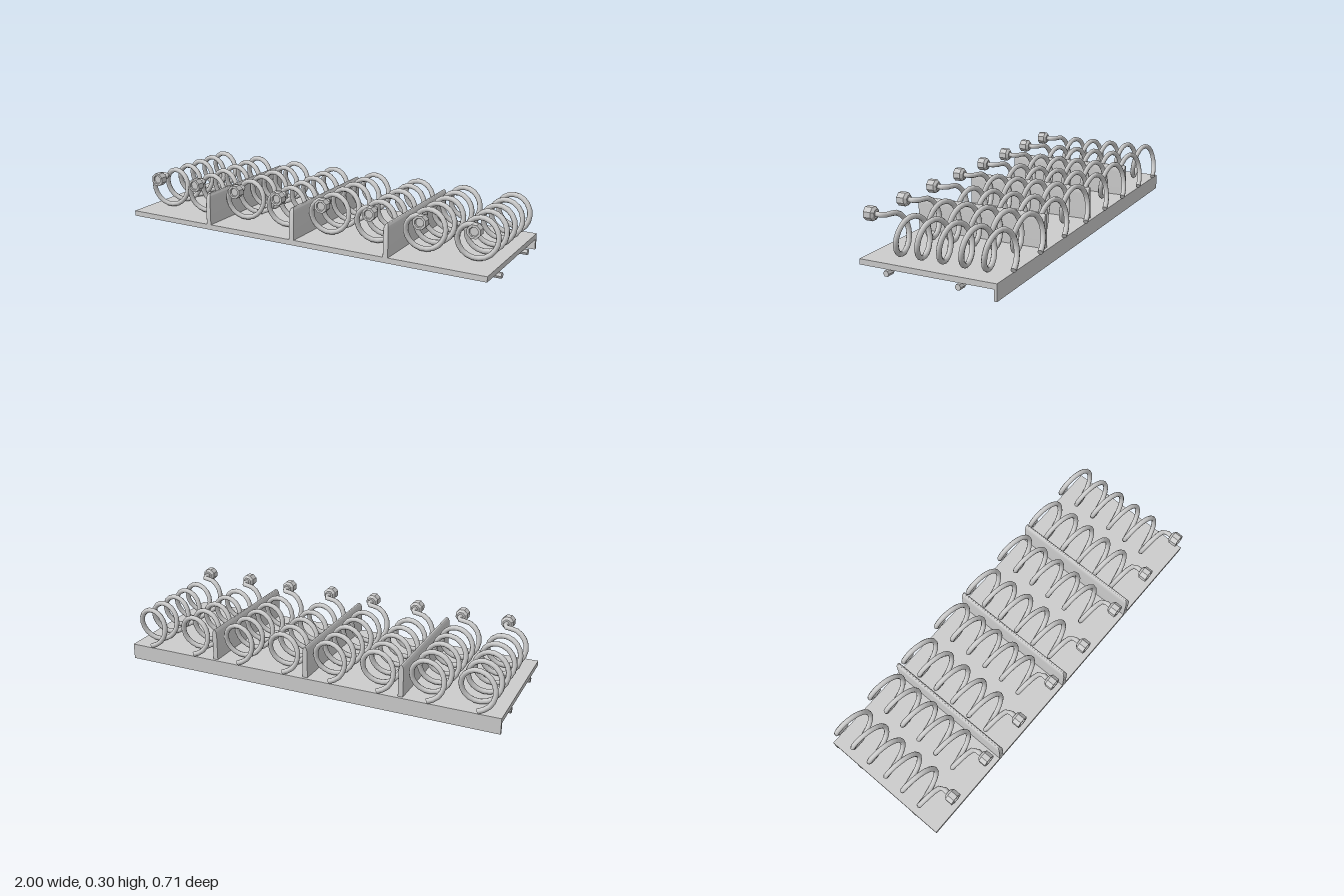
import * as THREE from 'three';
import { toCreasedNormals } from 'three/addons/utils/BufferGeometryUtils.js';

const smooth = new THREE.MeshStandardMaterial({ color: 0xcccccc });
const faceted = new THREE.MeshStandardMaterial({ color: 0xcccccc, flatShading: true });

function add(parent, name, geometry, material, x = 0, y = 0, z = 0) {
  const mesh = new THREE.Mesh(geometry, material);
  mesh.name = name;
  mesh.position.set(x, y, z);
  parent.add(mesh);
  return mesh;
}

// Partition: round-topped section run front to back, front top corner rounded off
function dividerGeometry() {
  const w = 0.0125, top = 0.242, shoulder = 0.205;
  const s = new THREE.Shape();
  s.moveTo(-w, 0.07);
  s.lineTo(w, 0.07);
  s.lineTo(w, shoulder);
  s.absellipse(0, shoulder, w, top - shoulder, 0, Math.PI, false);
  s.closePath();
  const g = new THREE.ExtrudeGeometry(s, { depth: 0.673, bevelEnabled: false, curveSegments: 12 });
  g.translate(0, 0, -0.32);
  const p = g.attributes.position;
  for (let i = 0; i < p.count; i++) {
    if (p.getZ(i) < 0) continue;
    const t = THREE.MathUtils.clamp((p.getY(i) - 0.2) / (top - 0.2), 0, 1);
    p.setZ(i, 0.353 - 0.02 * (1 - Math.sqrt(1 - t * t)));
  }
  return toCreasedNormals(g, 0.6);
}

// Coil wire: short straight lead, then a helix running to the back
const HOOK = 0.036, WIRE = 0.0128;
function coilCurve() {
  const R = 0.089, cy = 0.185, pitch = 0.109, start = -0.03, end = 5.47, perTurn = 12;
  const pts = [new THREE.Vector3(HOOK, 0.272, 0.31), new THREE.Vector3(HOOK, 0.272, 0.265)];
  const n = Math.round((end - start) * perTurn);
  for (let i = 0; i <= n; i++) {
    const turn = start + (end - start) * i / n, a = turn * Math.PI * 2;
    pts.push(new THREE.Vector3(-R * Math.sin(a), cy + R * Math.cos(a), 0.25 - pitch * turn));
  }
  return new THREE.CatmullRomCurve3(pts);
}

export function createModel() {
  const model = new THREE.Group();
  model.name = 'coilTray';

  // Shelf plate and back lip
  add(model, 'shelfPlate', new THREE.BoxGeometry(1.983, 0.027, 0.673), smooth, -0.0075, 0.0665, 0.0165);
  add(model, 'backLip', new THREE.BoxGeometry(1.983, 0.08, 0.015), smooth, -0.0075, 0.04, -0.3275);

  // Hexagonal support pegs under both ends
  const peg = new THREE.CylinderGeometry(0.015, 0.015, 0.045, 6).rotateZ(Math.PI / 2);
  for (const x of [-0.9775, 0.9775])
    for (const z of [0.203, -0.158]) add(model, 'supportPeg', peg, faceted, x, 0.039, z);

  // Dividers
  const divider = dividerGeometry();
  for (const x of [-0.511, -0.016, 0.49]) add(model, 'divider', divider, smooth, x);

  // Coils with end knobs
  const curve = coilCurve();
  const wire = new THREE.TubeGeometry(curve, 110, WIRE, 8);
  const tip = new THREE.CircleGeometry(WIRE, 8);
  const knob = new THREE.LatheGeometry([
    [0, 0.303], [0.022, 0.303], [0.034, 0.315], [0.034, 0.353],
    [0.023, 0.353], [0.02, 0.346], [0, 0.346],
  ].map(([r, y]) => new THREE.Vector2(r, y)), 8, Math.PI / 8).rotateX(Math.PI / 2);
  const endPoint = curve.getPointAt(1), endDir = curve.getTangentAt(1);

  for (const x of [-0.836, -0.597, -0.35, -0.102, 0.146, 0.399, 0.654, 0.911]) {
    const coil = new THREE.Group();
    coil.name = 'coil';
    coil.position.x = x - HOOK;
    add(coil, 'coilWire', wire, smooth);
    const cap = add(coil, 'coilTip', tip, smooth, endPoint.x, endPoint.y, endPoint.z);
    cap.quaternion.setFromUnitVectors(new THREE.Vector3(0, 0, 1), endDir);
    add(coil, 'coilKnob', knob, faceted, HOOK, 0.272, 0);
    model.add(coil);
  }
  return model;
}
